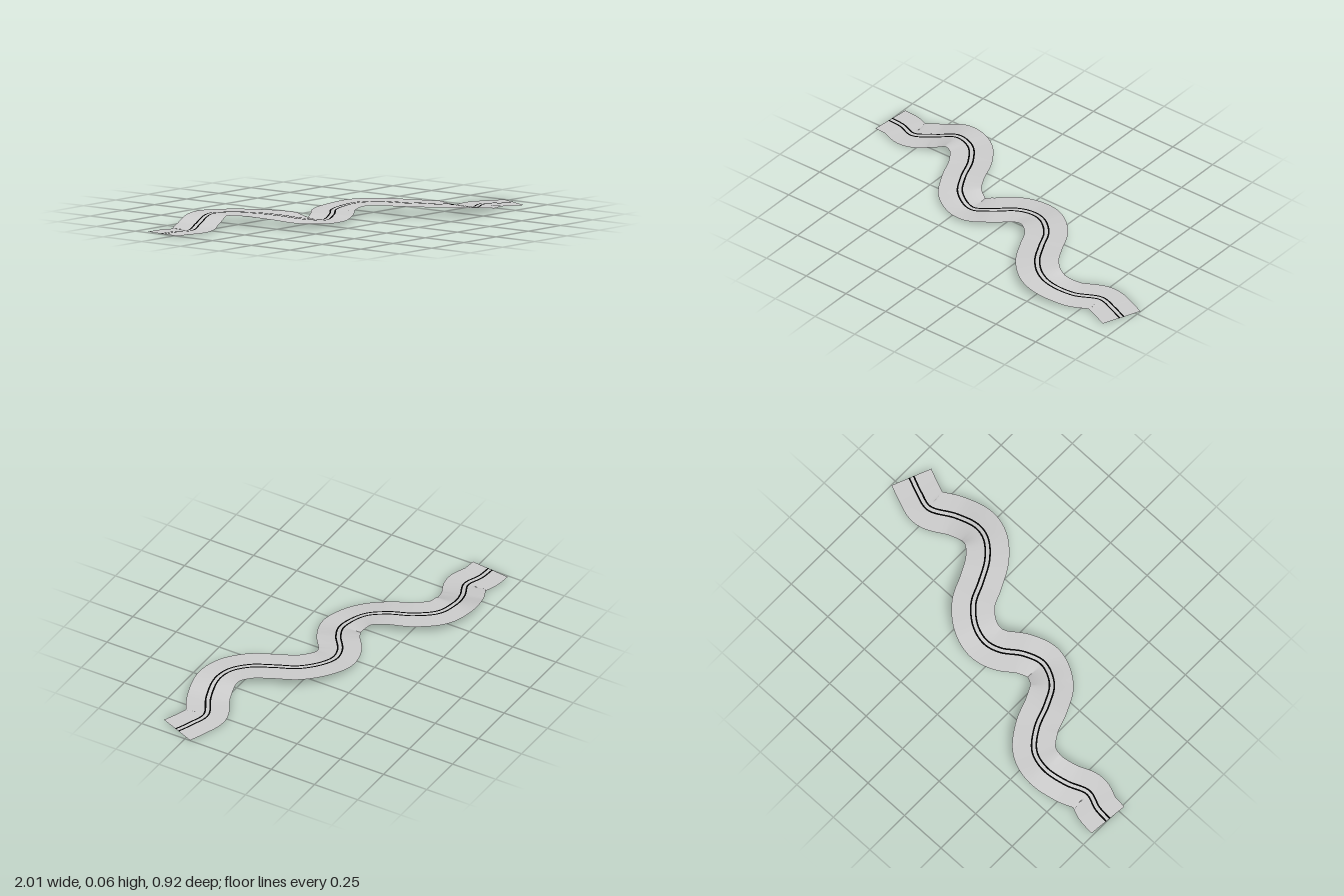
import * as THREE from 'three';

// Centre line of the road: x, height, z, bank (rise of the -z edge)
const path = [
  [-1, 0.007, -0.322, 0], [-0.92, 0.008, -0.314, 0], [-0.83, 0.009, -0.285, 0],
  [-0.72, 0.025, -0.328, 0], [-0.6, 0.058, -0.355, 0.002], [-0.5, 0.058, -0.325, 0.002],
  [-0.42, 0.056, -0.225, 0.003], [-0.37, 0.05, -0.1, 0.008], [-0.31, 0.036, 0, 0.012],
  [-0.2, 0.021, 0.053, 0], [-0.1, 0.034, 0.02, 0], [0, 0.041, -0.05, 0],
  [0.08, 0.046, -0.07, 0], [0.17, 0.057, -0.045, 0.003], [0.26, 0.06, 0.035, 0.003],
  [0.31, 0.058, 0.14, 0.003], [0.37, 0.057, 0.25, 0.002], [0.45, 0.051, 0.325, 0.002],
  [0.53, 0.038, 0.348, 0], [0.65, 0.015, 0.322, 0], [0.78, 0.009, 0.26, 0],
  [0.87, 0.006, 0.285, 0], [0.957, 0.004, 0.321, 0],
];
const HALF_WIDTH = 0.108;
const STEPS = 220;
const curve = new THREE.CatmullRomCurve3(path.map(([x, y, z]) => new THREE.Vector3(x, y, z)));

function bankAt(t) {
  const f = t * (path.length - 1);
  const i = Math.min(Math.floor(f), path.length - 2);
  return THREE.MathUtils.lerp(path[i][3], path[i + 1][3], f - i);
}

// Ribbon following the centre line between two sideways offsets
function ribbon(from, to, lift, columns) {
  const positions = [];
  const indices = [];
  for (let i = 0; i <= STEPS; i++) {
    const t = i / STEPS;
    const p = curve.getPoint(t);
    const d = curve.getTangent(t).setY(0).normalize();
    for (let j = 0; j <= columns; j++) {
      const s = THREE.MathUtils.lerp(from, to, j / columns);
      const y = p.y + lift - bankAt(t) * s / HALF_WIDTH;
      positions.push(p.x - d.z * s, y, p.z + d.x * s);
      if (i < STEPS && j < columns) {
        const a = i * (columns + 1) + j;
        const c = a + columns + 1;
        indices.push(a, a + 1, c, a + 1, c + 1, c);
      }
    }
  }
  const geometry = new THREE.BufferGeometry();
  geometry.setAttribute('position', new THREE.Float32BufferAttribute(positions, 3));
  geometry.setIndex(indices);
  geometry.computeVertexNormals();
  return geometry;
}

export function createModel() {
  const group = new THREE.Group();
  group.name = 'windingRoad';
  const asphalt = new THREE.MeshStandardMaterial({ color: 0xcccccc, side: THREE.DoubleSide });
  asphalt.name = 'paleGrey';
  const paint = new THREE.MeshStandardMaterial({ color: 0x000000 });
  paint.name = 'black';

  // Road surface
  const road = new THREE.Mesh(ribbon(-HALF_WIDTH, HALF_WIDTH, 0, 6), asphalt);
  road.name = 'roadSurface';
  group.add(road);

  // Double centre line
  for (const [name, offset] of [['centreLineBack', -0.012], ['centreLineFront', 0.012]]) {
    const line = new THREE.Mesh(ribbon(offset - 0.004, offset + 0.004, 0.001, 1), paint);
    line.name = name;
    group.add(line);
  }
  return group;
}
